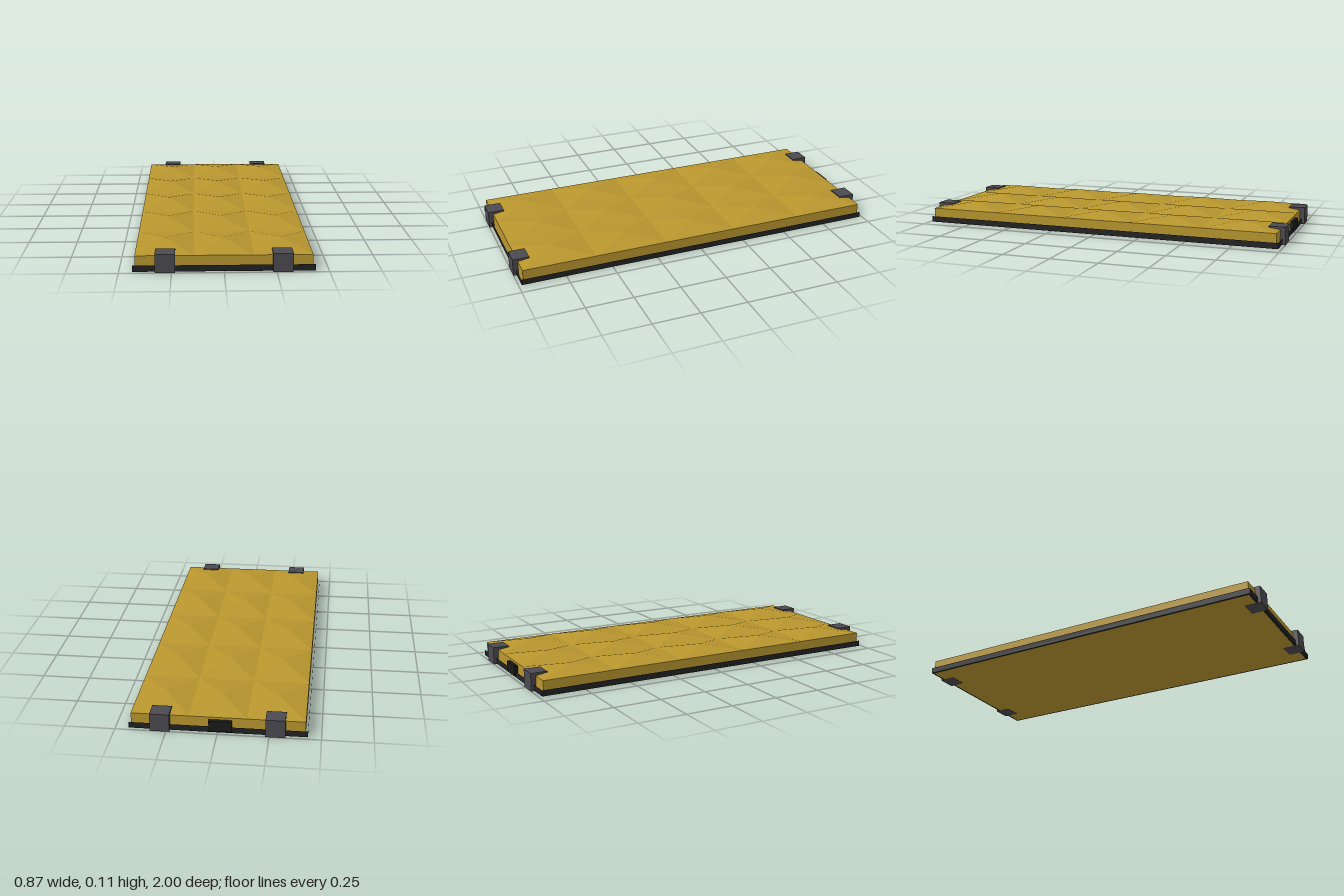
import * as THREE from 'three';
import { mergeGeometries } from 'three/addons/utils/BufferGeometryUtils.js';

const gold = new THREE.MeshStandardMaterial({ color: 0xb8962e });
const black = new THREE.MeshStandardMaterial({ color: 0x222222 });
const grey = new THREE.MeshStandardMaterial({ color: 0x4a4a50 });
const darkBlack = new THREE.MeshStandardMaterial({ color: 0x1a1a1a });

const W = 0.848, L = 1.946;       // panel width and length
const EDGE = 0.078, PEAK = 0.107; // height of the panel edge and of the studs
const COLS = 3, ROWS = 5;

// Box between two corners; dropTop leaves it open above
function box(name, material, [x0, y0, z0], [x1, y1, z1], dropTop = false) {
  const g = new THREE.BoxGeometry(x1 - x0, y1 - y0, z1 - z0);
  g.translate((x0 + x1) / 2, (y0 + y1) / 2, (z0 + z1) / 2);
  if (dropTop) {
    const index = Array.from(g.index.array);
    index.splice(12, 6);
    g.setIndex(index);
    g.clearGroups();
  }
  const mesh = new THREE.Mesh(g, material);
  mesh.name = name;
  return mesh;
}

// Grid of shallow four-sided pyramids covering the panel
function pyramidGrid() {
  const cw = W / COLS, cl = L / ROWS, h = PEAK - EDGE;
  const parts = [];
  for (let i = 0; i < COLS; i++) {
    for (let j = 0; j < ROWS; j++) {
      const g = new THREE.ConeGeometry(Math.SQRT1_2, 1, 4, 1, true);
      g.rotateY(Math.PI / 4);
      g.scale(cw, h, cl);
      g.translate((i + 0.5) * cw - W / 2, EDGE + h / 2, (j + 0.5) * cl - L / 2);
      parts.push(g.toNonIndexed());
    }
  }
  const merged = mergeGeometries(parts);
  merged.computeVertexNormals();
  const mesh = new THREE.Mesh(merged, gold);
  mesh.name = 'pyramidSurface';
  return mesh;
}

export function createModel() {
  const group = new THREE.Group();
  group.name = 'studdedPanel';

  // Panel body and faceted top
  group.add(box('panelBody', gold, [-W / 2, 0.001, -L / 2], [W / 2, EDGE, L / 2], true));
  group.add(pyramidGrid());

  // Black skirt around the lower edge, open above
  group.add(box('edgeSkirt', black, [-0.435, 0.002, -0.984], [0.435, 0.033, 0.984], true));

  // Four end clips
  for (const x of [-0.28, 0.28]) {
    for (const [end, z0, z1] of [['front', 0.912, 1], ['back', -1, -0.912]]) {
      const side = x > 0 ? 'Left' : 'Right';
      group.add(box(end + side + 'Clip', grey, [x - 0.048, 0, z0], [x + 0.048, 0.093, z1]));
    }
  }

  // Small connector block at the back
  group.add(box('backConnector', darkBlack, [-0.07, 0.01, -0.992], [0.043, 0.066, -0.96]));

  return group;
}
